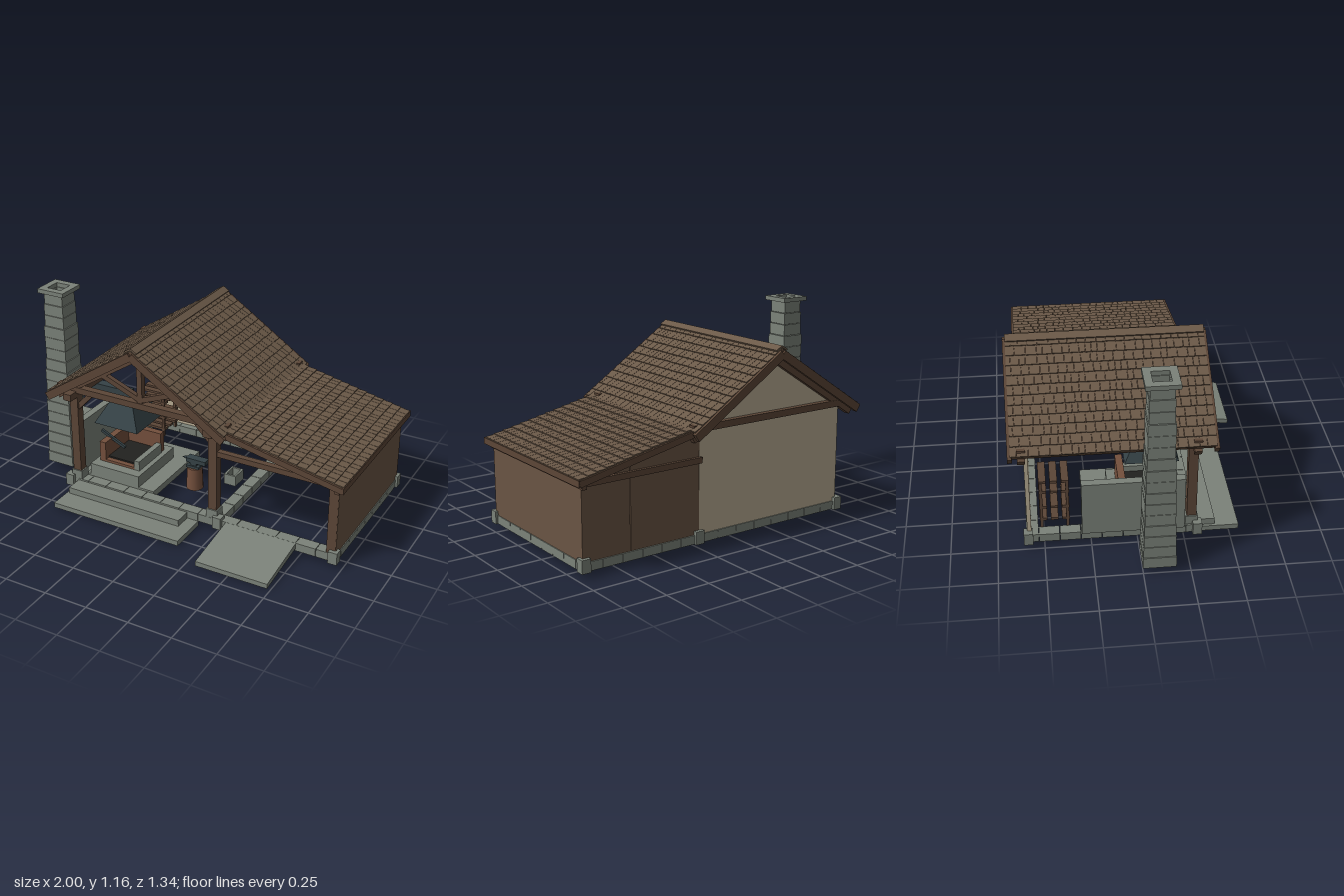
import * as THREE from 'three';
import { mergeGeometries } from 'three/addons/utils/BufferGeometryUtils.js';

const mat = (name, color, side = THREE.FrontSide) => {
  const m = new THREE.MeshStandardMaterial({ color, side });
  m.name = name;
  return m;
};

export function createModel() {
  const root = new THREE.Group();
  root.name = 'smithy';
  const roof = mat('shingle brown', 0x6b5948), timber = mat('dark timber', 0x5c4637);
  const board = mat('wall board', 0x6a5443), plaster = mat('plaster', 0xb9ad94);
  const stone = mat('stone', 0x7b8279), iron = mat('iron', 0x354246, THREE.DoubleSide);
  const brick = mat('hearth brick', 0x74503d), coal = mat('coal', 0x22211f);

  let seed = 7;
  const rand = () => (seed = (seed * 16807) % 2147483647) / 2147483647;

  const add = (name, geo, m, parent = root) => {
    const mesh = new THREE.Mesh(geo, m);
    mesh.name = name;
    parent.add(mesh);
    return mesh;
  };
  const box = (name, m, x0, x1, y0, y1, z0, z1, parent = root) => {
    const b = add(name, new THREE.BoxGeometry(x1 - x0, y1 - y0, z1 - z0), m, parent);
    b.position.set((x0 + x1) / 2, (y0 + y1) / 2, (z0 + z1) / 2);
    return b;
  };
  // Beam between two points of the XY plane
  const beam = (name, m, x0, y0, x1, y1, z, h, d) => {
    const b = add(name, new THREE.BoxGeometry(Math.hypot(x1 - x0, y1 - y0), h, d), m);
    b.position.set((x0 + x1) / 2, (y0 + y1) / 2, z);
    b.rotation.z = Math.atan2(y1 - y0, x1 - x0);
    return b;
  };
  const panel = (name, m, pts, z, depth) => {
    const shape = new THREE.Shape(pts.map(p => new THREE.Vector2(...p)));
    add(name, new THREE.ExtrudeGeometry(shape, { depth, bevelEnabled: false }), m).position.z = z;
  };

  // Foundation: rows of blocks along x or z
  const blocks = (x0, x1, z0, z1, alongX, n) => {
    for (let i = 0; i < n; i++) {
      const a = i / n, b = (i + 1) / n, g = 0.0015;
      if (alongX) box('foundationBlock', stone, x0 + (x1 - x0) * a + g, x0 + (x1 - x0) * b - g, 0.03, 0.078, z0, z1);
      else box('foundationBlock', stone, x0, x1, 0.03, 0.078, z0 + (z1 - z0) * a + g, z0 + (z1 - z0) * b - g);
    }
  };
  for (const z of [-0.595, 0.26]) {
    blocks(-0.73, 0.25, z, z + 0.065, true, 8);
    blocks(0.25, 0.965, z, z + 0.065, true, 6);
  }
  for (const x of [-0.73, 0.2, 0.9]) blocks(x, x + 0.065, -0.53, 0.26, false, 7);
  for (const x of [-0.725, 0.255, 0.95])
    for (const z of [-0.585, 0.32])
      box('cornerStone', stone, x - 0.026, x + 0.026, 0.028, 0.1, z - 0.025, z + 0.025);

  // Steps and ramp
  box('lowerStep', stone, -0.69, 0.13, 0, 0.03, 0.32, 0.555);
  box('upperStep', stone, -0.675, 0.06, 0.03, 0.068, 0.325, 0.425);
  const side = new THREE.Shape([[0.32, 0.045], [0.67, 0], [0.67, 0.028], [0.32, 0.078]].map(p => new THREE.Vector2(...p)));
  const ramp = add('ramp', new THREE.ExtrudeGeometry(side, { depth: 0.425, bevelEnabled: false }), stone);
  ramp.rotation.y = -Math.PI / 2;
  ramp.position.x = 0.73;

  // Walls
  panel('backPlasterWall', plaster, [[-0.72, 0.078], [0.25, 0.078], [0.25, 0.655], [-0.24, 0.978], [-0.72, 0.665]], -0.59, 0.022);
  panel('leanToBackWall', board, [[0.25, 0.078], [0.675, 0.078], [0.675, 0.548], [0.25, 0.638]], -0.588, 0.02);
  panel('leanToBackWall', board, [[0.679, 0.078], [0.96, 0.078], [0.96, 0.485], [0.679, 0.547]], -0.588, 0.02);
  box('leanToSideWall', board, 0.94, 0.96, 0.078, 0.49, -0.588, 0.32);

  // Posts, plates and knee braces
  for (const x of [-0.685, 0.215]) {
    box('mainPost', timber, x - 0.026, x + 0.026, 0.12, 0.65, 0.265, 0.317);
    box('postFoot', stone, x - 0.034, x + 0.034, 0.078, 0.13, 0.257, 0.324);
    box('wallPlate', timber, x - 0.025, x + 0.025, 0.61, 0.65, -0.57, 0.38);
    const s = x < -0.3 ? 1 : -1;
    beam('kneeBrace', timber, x + s * 0.015, 0.54, x + s * 0.11, 0.64, 0.29, 0.03, 0.03);
  }
  box('leanToInnerPost', timber, 0.265, 0.31, 0.078, 0.62, -0.565, -0.53);
  box('leanToFrontPost', timber, 0.905, 0.958, 0.078, 0.48, 0.275, 0.322);
  box('leanToFrontBeam', timber, 0.23, 0.93, 0.466, 0.498, 0.275, 0.31);
  box('leanToBackBeam', timber, 0.24, 0.97, 0.466, 0.498, -0.605, -0.588);
  box('leanToEaveBeam', timber, 0.94, 0.965, 0.455, 0.485, -0.61, 0.34);

  // Gable trusses, front and back
  for (const z of [0.3, -0.6]) {
    box('tieBeam', timber, -0.79, 0.31, 0.638, 0.675, z - 0.022, z + 0.022);
    for (const s of [-1, 1])
      beam('trussRafter', timber, -0.24, 0.955, -0.24 + s * 0.55, 0.6, z, 0.04, 0.04);
    if (z > 0) {
      box('kingPost', timber, -0.256, -0.224, 0.675, 0.95, z - 0.018, z + 0.018);
      for (const s of [-1, 1])
        beam('strut', timber, -0.24 + s * 0.012, 0.695, -0.24 + s * 0.25, 0.79, z, 0.03, 0.03);
    }
  }

  // Shingled slope: local x runs down the slope, local y is its normal
  const slope = (name, dx, dy, width, rows) => {
    const g = new THREE.Group(), len = Math.hypot(dx, dy), step = len / rows, parts = [];
    g.name = name;
    box('roofDeck', timber, 0, len, -0.034, -0.009, -width / 2, width / 2, g);
    for (let r = 0; r < rows; r++) {
      for (let z = -width / 2; z < width / 2 - 0.001;) {
        let w = 0.03 + rand() * 0.03;
        if (z + w > width / 2 - 0.02) w = width / 2 - z;
        const s = new THREE.BoxGeometry(step * (1.04 + rand() * 0.08), 0.008, w - 0.002);
        s.rotateZ(0.006 / step);
        s.translate((r + 0.5) * step, -0.005, z + w / 2);
        parts.push(s);
        z += w;
      }
    }
    add('shingles', mergeGeometries(parts), roof, g);
    g.rotation.z = Math.atan2(dy, dx);
    return g;
  };
  for (const s of [0, 1]) {
    const half = new THREE.Group();
    half.name = s ? 'leftRoof' : 'rightRoof';
    half.add(slope('mainSlope', 0.565, -0.368, 1.05, 12));
    half.position.set(-0.24, 1.022, -0.13);
    half.rotation.y = s * Math.PI;
    root.add(half);
    const d = s ? -1 : 1;
    for (const z of [0.395, -0.657])
      beam('bargeBoard', timber, -0.24, 0.99, -0.24 + d * 0.562, 0.622, z, 0.046, 0.024);
    beam('ridgeCap', roof, -0.24, 1.03, -0.24 + d * 0.035, 1.009, -0.13, 0.01, 1.05);
  }
  const lean = slope('leanToSlope', 0.69, -0.15, 0.97, 13);
  lean.position.set(0.3, 0.665, -0.135);
  root.add(lean);
  for (const z of [0.35, -0.618])
    beam('leanToBarge', timber, 0.28, 0.64, 0.99, 0.492, z, 0.034, 0.022);
  box('leanToFascia', timber, 0.972, 0.996, 0.477, 0.512, -0.628, 0.36);

  // Hollow stone chimney with tapering courses
  const chimney = new THREE.Group();
  chimney.name = 'chimney';
  chimney.position.set(-0.913, 0, 0.085);
  root.add(chimney);
  const ring = (name, half, hole, y, h) => {
    const sq = a => [[-a, -a], [a, -a], [a, a], [-a, a]].map(p => new THREE.Vector2(...p));
    const shape = new THREE.Shape(sq(half));
    shape.holes.push(new THREE.Path(sq(hole).reverse()));
    const m = add(name, new THREE.ExtrudeGeometry(shape, { depth: h, bevelEnabled: false }), stone, chimney);
    m.rotation.x = -Math.PI / 2;
    m.position.y = y;
  };
  for (let i = 0; i < 16; i++)
    ring('chimneyCourse', 0.086 - 0.0015 * i + (rand() - 0.5) * 0.005, 0.046, 0.035 + i * 0.0685, 0.066);
  ring('chimneyCap', 0.087, 0.046, 1.131, 0.025);

  // Forge: pad, rear stone wall, hearth
  box('hearthPad', stone, -0.66, -0.2, 0.05, 0.09, -0.28, 0.26);
  box('forgeBase', stone, -0.63, -0.3, 0.09, 0.16, -0.14, 0.26);
  box('forgeStoneWall', stone, -0.745, -0.7, 0.078, 0.4, -0.3, 0.25);
  box('flueBlock', stone, -0.84, -0.745, 0.078, 0.38, 0.02, 0.15);
  box('hearthBack', brick, -0.58, -0.335, 0.16, 0.285, -0.09, -0.05);
  box('hearthSide', brick, -0.6, -0.56, 0.16, 0.285, -0.05, 0.2);
  box('hearthSide', stone, -0.365, -0.33, 0.16, 0.22, -0.05, 0.2);
  box('hearthLip', brick, -0.56, -0.365, 0.16, 0.175, 0.17, 0.2);
  box('coalBed', coal, -0.56, -0.365, 0.16, 0.185, -0.05, 0.17);
  beam('poker', iron, -0.635, 0.315, -0.475, 0.24, 0.12, 0.016, 0.016);

  // Smoke hood and duct
  const hood = add('smokeHood', new THREE.CylinderGeometry(0.075 * Math.SQRT2, 0.145 * Math.SQRT2, 0.13, 4, 1, true).rotateY(Math.PI / 4).toNonIndexed(), iron);
  hood.geometry.computeVertexNormals();
  hood.position.set(-0.465, 0.485, 0.085);
  box('hoodNeck', iron, -0.54, -0.39, 0.545, 0.56, 0.01, 0.16);
  box('duct', iron, -0.87, -0.44, 0.558, 0.61, 0.058, 0.112);

  // Firewood rack
  for (const y of [0.12, 0.2, 0.3, 0.365]) {
    for (const z of [-0.5, -0.44, -0.38])
      box('rackPlank', timber, -0.665, -0.49, y, y + 0.015, z - 0.02, z + 0.02);
  }
  for (const x of [-0.66, -0.505])
    for (const z of [-0.51, -0.37])
      box('rackLeg', timber, x - 0.008, x + 0.008, 0.078, 0.37, z - 0.008, z + 0.008);

  // Anvil on its stump
  add('stump', new THREE.CylinderGeometry(0.045, 0.05, 0.135, 14), brick).position.set(-0.025, 0.152, 0.085);
  box('anvilFoot', iron, -0.065, 0.015, 0.22, 0.235, 0.055, 0.115);
  box('anvilWaist', iron, -0.045, -0.005, 0.235, 0.252, 0.065, 0.105);
  box('anvilTop', iron, -0.07, 0.055, 0.252, 0.278, 0.06, 0.11);
  const horn = add('anvilHorn', new THREE.ConeGeometry(0.014, 0.045, 8), iron);
  horn.rotation.z = Math.PI / 2;
  horn.position.set(-0.088, 0.265, 0.085);

  // Quench trough
  box('troughFloor', stone, 0.11, 0.185, 0.09, 0.1, -0.12, -0.02);
  for (const x of [0.11, 0.173]) box('troughSide', stone, x, x + 0.012, 0.1, 0.155, -0.12, -0.02);
  for (const z of [-0.12, -0.032]) box('troughEnd', stone, 0.122, 0.173, 0.1, 0.155, z, z + 0.012);

  // Workbench with a row of hammers
  box('benchTop', timber, 0.31, 0.775, 0.228, 0.25, -0.55, -0.4);
  box('benchRail', timber, 0.33, 0.755, 0.115, 0.13, -0.54, -0.41);
  for (const x of [0.325, 0.745])
    for (const z of [-0.545, -0.425]) box('benchLeg', timber, x, x + 0.02, 0.078, 0.228, z, z + 0.02);
  [0.362, 0.432, 0.507, 0.578, 0.655].forEach((x, i) => {
    const y = i % 2 ? 0.355 : 0.335;
    box('hammerHandle', timber, x - 0.005, x + 0.005, 0.25, y, -0.53, -0.52);
    box('hammerHead', iron, x - 0.02, x + 0.02, y, y + 0.014, -0.533, -0.517);
  });

  // Tool rack on the side wall
  box('toolRail', timber, 0.915, 0.94, 0.215, 0.235, -0.3, 0.1);
  for (let i = 0; i < 4; i++) {
    const z = -0.25 + i * 0.1;
    box('hangingTool', iron, 0.885, 0.897, 0.18, 0.31, z, z + 0.012);
    box('toolPeg', timber, 0.87, 0.94, 0.2, 0.21, z, z + 0.012);
  }
  return root;
}
